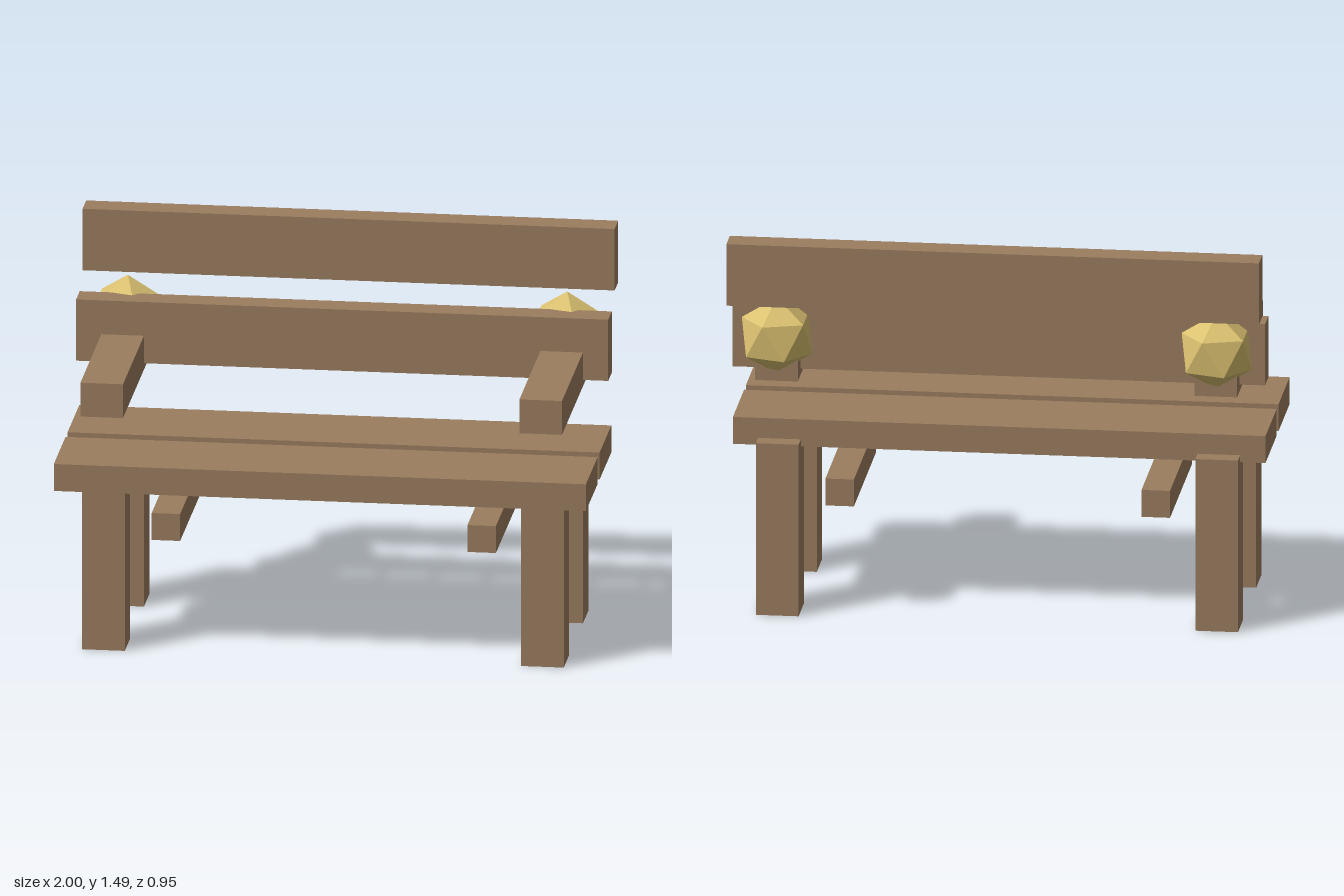
import * as THREE from 'three';

export function createModel() {
  const bench = new THREE.Group();
  bench.name = 'bench';

  const wood = new THREE.MeshStandardMaterial({ color: 0x9b7d5f });
  wood.name = 'brownWood';
  const gold = new THREE.MeshStandardMaterial({ color: 0xdac070, flatShading: true });
  gold.name = 'paleGold';

  // Box beam given by its extents along each axis
  function beam(name, [x0, x1], [y0, y1], [z0, z1]) {
    const mesh = new THREE.Mesh(new THREE.BoxGeometry(x1 - x0, y1 - y0, z1 - z0), wood);
    mesh.position.set((x0 + x1) / 2, (y0 + y1) / 2, (z0 + z1) / 2);
    mesh.name = name;
    bench.add(mesh);
  }

  // Seat planks and back rails span the full width
  const full = [-1, 1];
  beam('frontSeatPlank', full, [0.643, 0.748], [0.13, 0.474]);
  beam('rearSeatPlank', full, [0.643, 0.748], [-0.272, 0.072]);
  beam('lowerBackRail', full, [0.95, 1.189], [-0.285, -0.18]);
  beam('upperBackRail', full, [1.245, 1.485], [-0.474, -0.368]);

  // Faceted knob: icosahedron turned to stand on a vertex
  const knobGeometry = new THREE.IcosahedronGeometry(0.148, 0);
  knobGeometry.rotateZ(-Math.atan(2 / (1 + Math.sqrt(5))));

  // Parts repeated on both sides
  for (const [label, side] of [['left', 1], ['right', -1]]) {
    const span = (a, b) => (side > 0 ? [a, b] : [-b, -a]);
    const legX = span(0.745, 0.905);
    beam(label + 'FrontLeg', legX, [0, 0.67], [0.222, 0.381]);
    beam(label + 'RearLeg', legX, [0, 0.67], [-0.34, -0.18]);
    beam(label + 'Armrest', legX, [0.925, 1.057], [-0.366, 0.434]);
    beam(label + 'Stretcher', span(0.54, 0.647), [0.43, 0.535], [-0.318, 0.358]);

    const knob = new THREE.Mesh(knobGeometry, gold);
    knob.position.set(side * 0.826, 1.095, -0.34);
    knob.name = label + 'Knob';
    bench.add(knob);
  }

  return bench;
}
